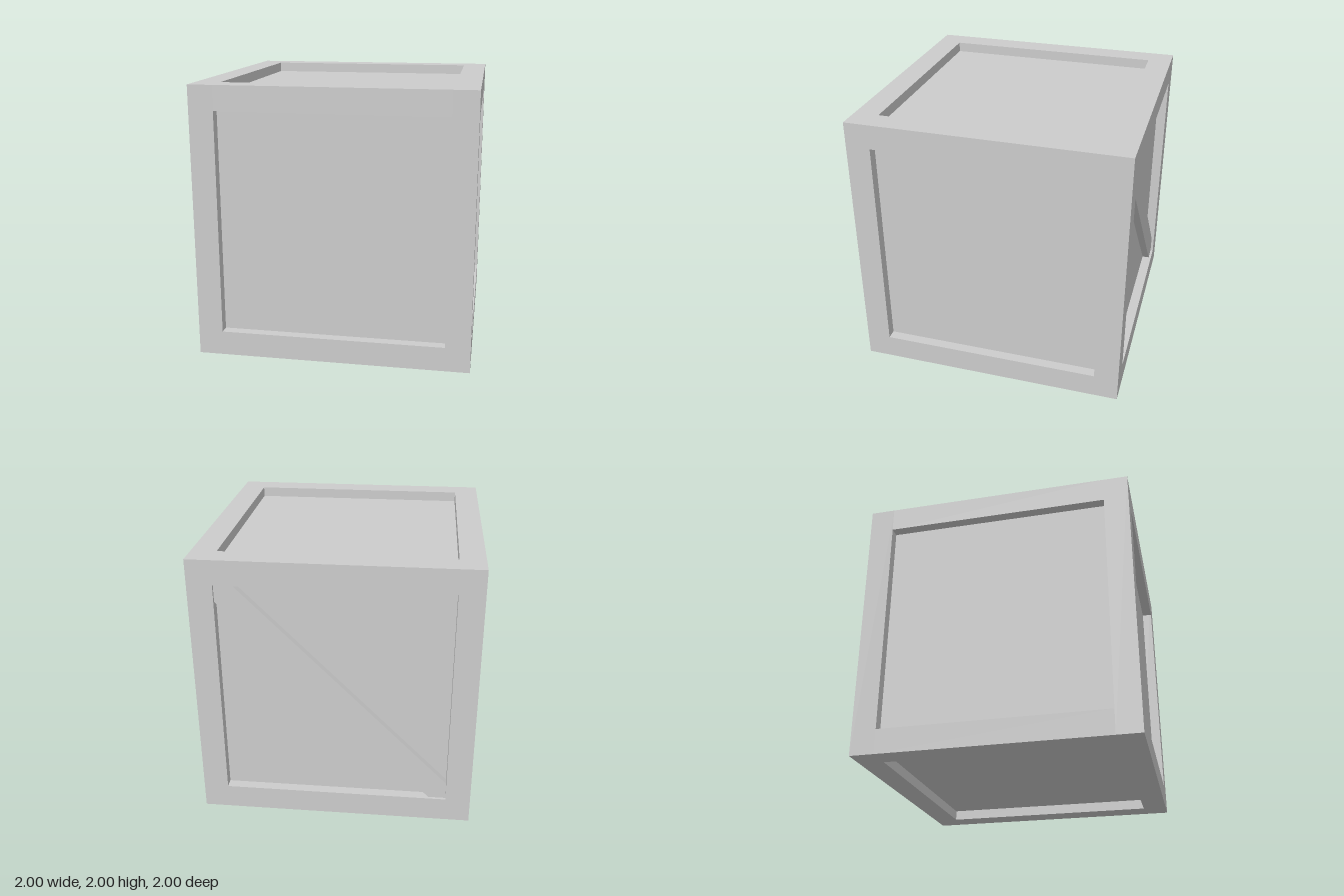
import * as THREE from 'three';

const SIZE = 2;        // outer edge of the crate
const BEAM = 0.18;     // frame beam thickness
const RECESS = 0.075;  // depth of the panels below the frame
const BRACE = 0.055;   // thickness of the diagonal brace

export function createModel() {
  const crate = new THREE.Group();
  crate.name = 'crate';
  const material = new THREE.MeshStandardMaterial({ color: 0xcccccc, flatShading: true });

  const add = (name, geometry, x, y, z) => {
    const mesh = new THREE.Mesh(geometry, material);
    mesh.name = name;
    mesh.position.set(x, y, z);
    crate.add(mesh);
    return mesh;
  };

  // Inner box whose faces are the six sunken panels
  const core = SIZE - 2 * RECESS;
  add('panels', new THREE.BoxGeometry(core, core, core), 0, SIZE / 2, 0);

  // Frame: four full-height posts, with rails between them at top and bottom
  const inner = SIZE - 2 * BEAM;
  const c = (SIZE - BEAM) / 2;
  const post = new THREE.BoxGeometry(BEAM, SIZE, BEAM);
  const railX = new THREE.BoxGeometry(inner, BEAM, BEAM);
  const railZ = new THREE.BoxGeometry(BEAM, BEAM, inner);
  for (const a of [-1, 1]) {
    for (const b of [-1, 1]) {
      add('cornerPost', post, a * c, SIZE / 2, b * c);
      add('crossRail', railX, 0, SIZE / 2 + a * c, b * c);
      add('sideRail', railZ, a * c, SIZE / 2 + b * c, 0);
    }
  }

  // Diagonal brace on the back, its ends trimmed to fit the frame corners
  const h = inner / 2;
  const cut = h - 0.127;
  const outline = new THREE.Shape(
    [[h, h], [cut, h], [-h, -cut], [-h, -h], [-cut, -h], [h, cut]].map(([x, y]) => new THREE.Vector2(x, y))
  );
  const brace = new THREE.ExtrudeGeometry(outline, { depth: BRACE, bevelEnabled: false });
  add('backBrace', brace, 0, SIZE / 2, -core / 2 - BRACE);

  return crate;
}
